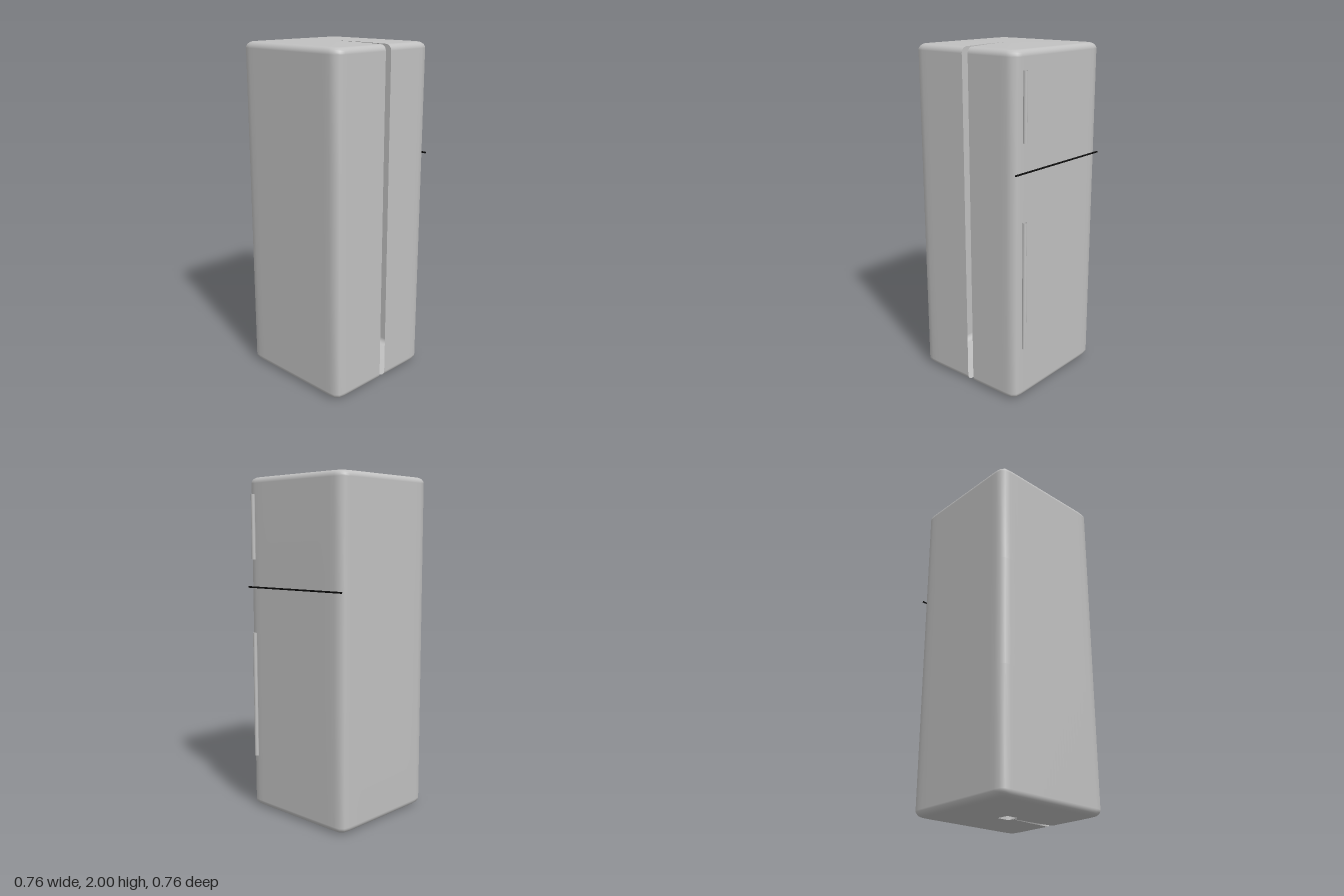
import * as THREE from 'three';

export function createModel() {
  const model = new THREE.Group();
  const grey = new THREE.MeshStandardMaterial({ color: 0xc0c0c0, side: THREE.DoubleSide });
  grey.name = 'light grey enamel';
  const black = new THREE.MeshStandardMaterial({ color: 0x0a0a0a });
  black.name = 'black trim';

  const add = (name, geometry, material, x, y, z) => {
    const mesh = new THREE.Mesh(geometry, material);
    mesh.name = name;
    mesh.position.set(x, y, z);
    model.add(mesh);
    return mesh;
  };

  // Cabinet: a hollow shell swept around y, squared off, with an open wedge on its left side
  const halfX = 0.378, halfZ = 0.366, rim = 0.035, dome = 0.005, gap = 0.116;
  const profile = [];
  const corner = (cy, from) => {
    for (let i = 0; i <= 6; i++) {
      const a = from + (i / 6) * Math.PI / 2;
      profile.push(new THREE.Vector2(halfX - rim + rim * Math.cos(a), cy + rim * Math.sin(a)));
    }
  };
  profile.push(new THREE.Vector2(0.04, 0), new THREE.Vector2(0.18, 0.001)); // small hole underneath
  corner(dome + rim, -Math.PI / 2);
  profile.push(new THREE.Vector2(halfX, 0.7), new THREE.Vector2(halfX, 1.35));
  corner(2 - dome - rim, 0);
  profile.push(new THREE.Vector2(0.18, 1.999), new THREE.Vector2(0, 2));

  const shell = new THREE.LatheGeometry(profile, 106, Math.PI / 2 + gap, Math.PI * 2 - gap);
  const pos = shell.attributes.position;
  const n = 20; // squareness of the rounded plan
  for (let i = 0; i < pos.count; i++) {
    const x = pos.getX(i), z = pos.getZ(i), r = Math.hypot(x, z);
    if (r < 1e-6) continue;
    const k = Math.pow(Math.abs(x / r) ** n + Math.abs(z / r) ** n, -1 / n);
    pos.setX(i, x * k);
    pos.setZ(i, z * k * halfZ / halfX);
  }
  shell.computeVertexNormals();
  add('cabinet', shell, grey, 0, 0, 0.016);

  // Door handles: open-ended upright tubes standing off the door face
  for (const [name, y0, y1] of [['lowerHandle', 0.33, 1.085], ['upperHandle', 1.52, 1.895]]) {
    const tube = new THREE.CylinderGeometry(0.012, 0.012, y1 - y0, 16, 1, true);
    add(name, tube, grey, 0.315, (y0 + y1) / 2, -0.369);
  }

  // Dark seam between the two doors
  const seam = new THREE.CylinderGeometry(0.005, 0.005, halfX * 2, 10);
  add('doorSeam', seam, black, 0, 1.355, -0.357).rotation.z = Math.PI / 2;

  return model;
}
